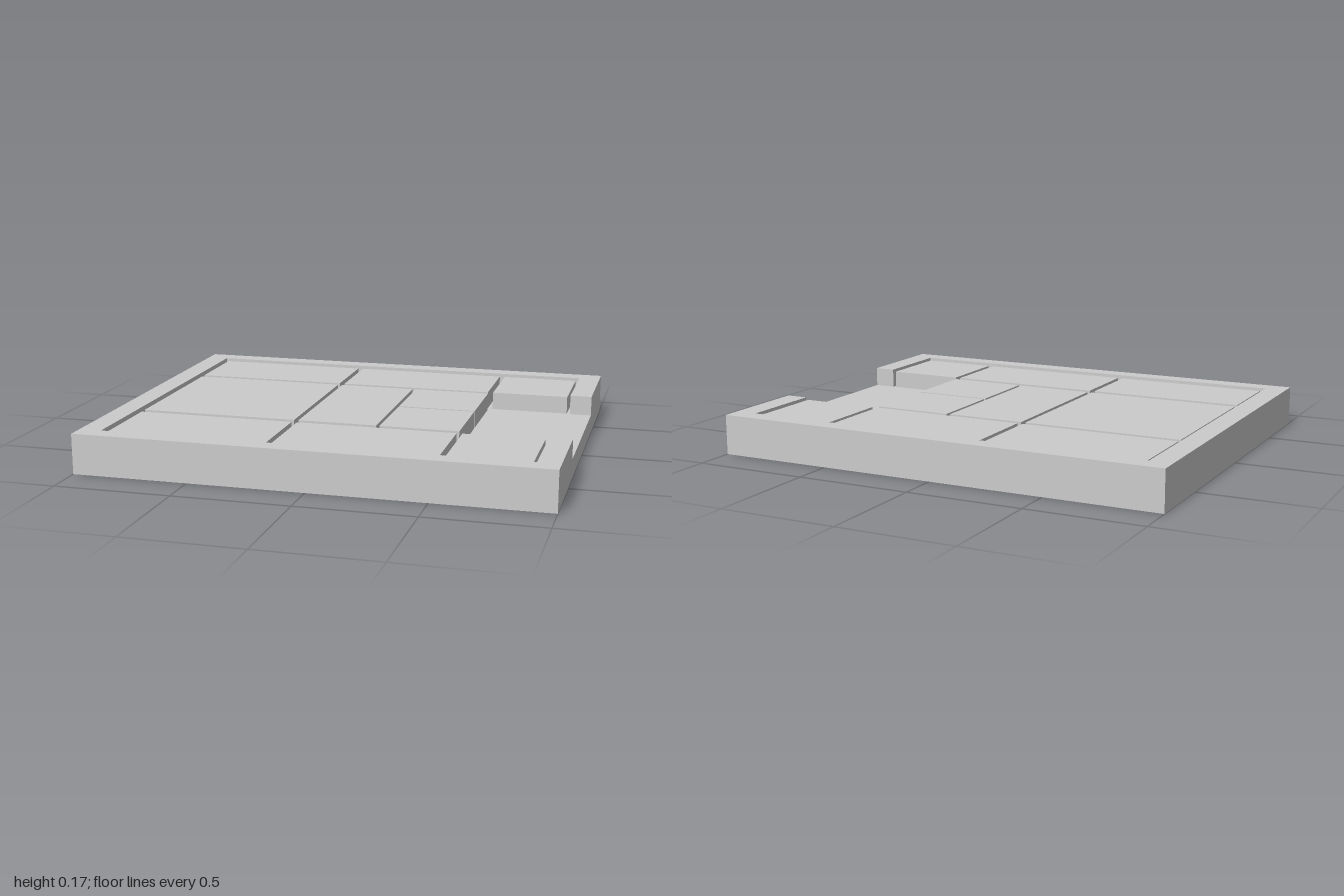
import * as THREE from 'three';

const FLOOR = 0.086, RIM = 0.173, BLOCK_TOP = 0.164;

export function createModel() {
  const model = new THREE.Group();
  model.name = 'slidingBlockPuzzle';
  const material = new THREE.MeshStandardMaterial({ color: 0xcccccc, flatShading: true });

  const add = (name, geometry, parent) => {
    const mesh = new THREE.Mesh(geometry, material);
    mesh.name = name;
    parent.add(mesh);
    return mesh;
  };

  // Tray: solid floor plus a rim with an exit gap on the +x side
  const tray = new THREE.Group();
  tray.name = 'tray';
  model.add(tray);
  add('trayFloor', new THREE.BoxGeometry(2, FLOOR, 1.656), tray).position.y = FLOOR / 2;

  const outline = [
    [1, 0.375], [1, 0.828], [-1, 0.828], [-1, -0.828], [1, -0.828], [1, -0.375],
    [0.904, -0.375], [0.904, -0.748], [-0.904, -0.748], [-0.904, 0.748], [0.904, 0.748], [0.904, 0.375],
  ].map(([x, y]) => new THREE.Vector2(x, y));
  const rim = new THREE.ExtrudeGeometry(new THREE.Shape(outline), { depth: RIM - FLOOR, bevelEnabled: false });
  rim.rotateX(-Math.PI / 2);
  add('trayRim', rim, tray).position.y = FLOOR;

  // Sliding blocks: name, x range, z range
  const blocks = [
    ['largeSquareBlock', -0.886, -0.195, -0.352, 0.341],
    ['crosswiseBlock', -0.175, 0.168, -0.352, 0.341],
    ['backLongBlock1', -0.886, -0.195, -0.723, -0.38],
    ['backLongBlock2', -0.171, 0.521, -0.723, -0.38],
    ['frontLongBlock1', -0.886, -0.195, 0.376, 0.72],
    ['frontLongBlock2', -0.171, 0.521, 0.376, 0.72],
    ['backCornerBlock', 0.545, 0.889, -0.723, -0.38],
    ['frontCornerBlock', 0.545, 0.889, 0.376, 0.72],
    ['smallBlock1', 0.183, 0.526, -0.356, -0.012],
    ['smallBlock2', 0.183, 0.526, 0.001, 0.344],
  ];
  const blockGroup = new THREE.Group();
  blockGroup.name = 'blocks';
  model.add(blockGroup);
  for (const [name, x0, x1, z0, z1] of blocks) {
    const block = add(name, new THREE.BoxGeometry(x1 - x0, BLOCK_TOP - FLOOR, z1 - z0), blockGroup);
    block.position.set((x0 + x1) / 2, (FLOOR + BLOCK_TOP) / 2, (z0 + z1) / 2);
  }

  return model;
}
